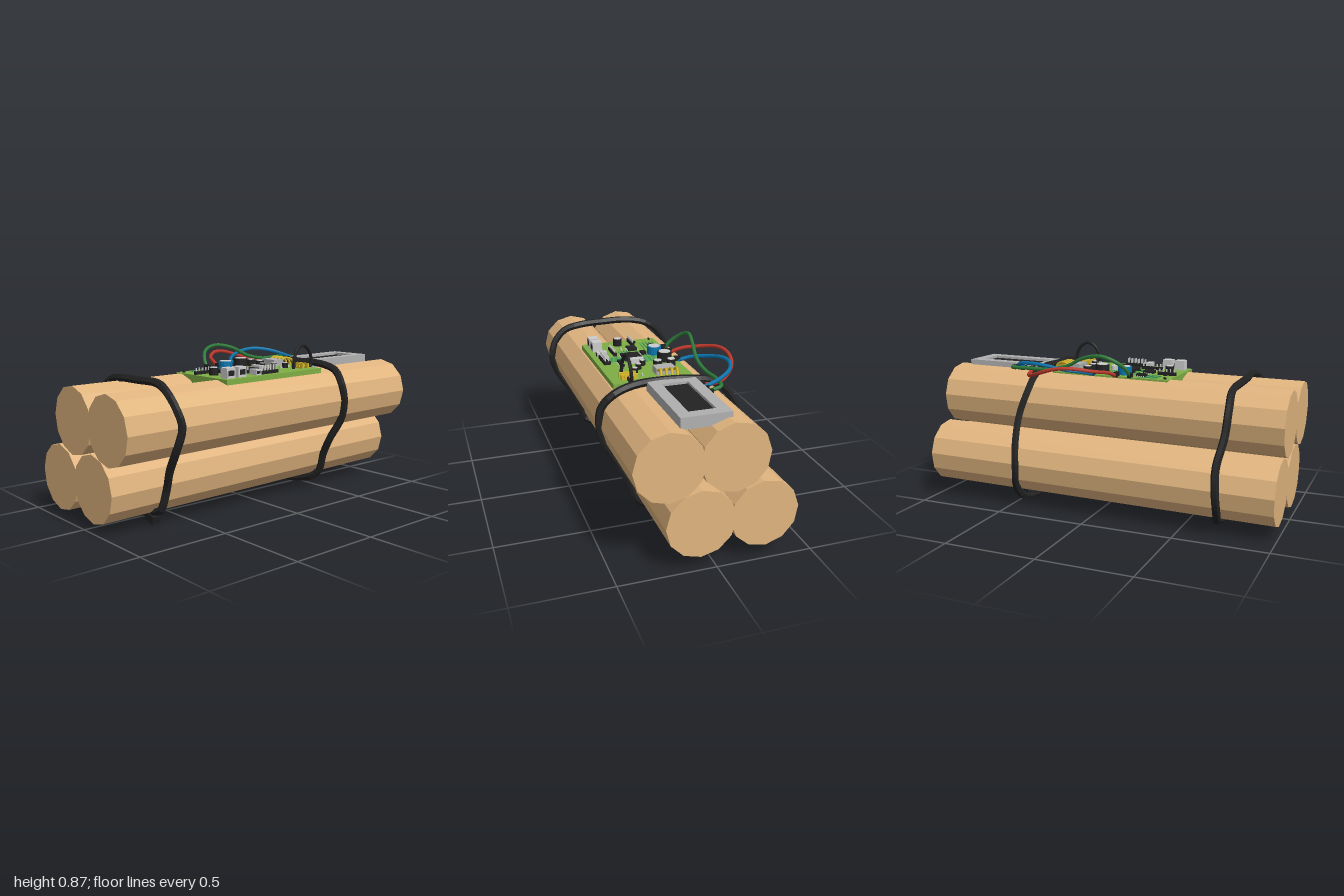
import * as THREE from 'three';

const COLORS = {
  tan: 0xe0b47e, black: 0x222222, green: 0x7fae45, trace: 0x3f9d5c, grey: 0xb0b0b0,
  silver: 0xcccccc, blue: 0x0a77b0, red: 0xc03a2c, wireGreen: 0x2f7d3c, yellow: 0xd8b828,
};
const mats = {};
const mat = (c, flat = true) => {
  const key = c + flat;
  mats[key] ??= new THREE.MeshStandardMaterial({ color: COLORS[c], flatShading: flat });
  return mats[key];
};

export function createModel() {
  const model = new THREE.Group();
  model.name = 'tubeBundleProp';
  const body = new THREE.Group();
  body.name = 'tiltedAssembly';
  body.rotation.z = 0.0125;
  model.add(body);

  const add = (name, geo, color, x = 0, y = 0, z = 0, flat = true) => {
    const m = new THREE.Mesh(geo, mat(color, flat));
    m.name = name;
    m.position.set(x, y, z);
    body.add(m);
    return m;
  };
  // Boxes and cylinders stand on height y
  const box = (name, color, w, h, d, x, y, z) =>
    add(name, new THREE.BoxGeometry(w, h, d), color, x, y + h / 2, z);
  const cyl = (name, color, r, h, x, y, z, sides = 14) =>
    add(name, new THREE.CylinderGeometry(r, r, h, sides), color, x, y + h / 2, z);
  const wire = (name, color, pts, r = 0.0105, closed = false, segs = 36, sides = 6) => {
    const curve = new THREE.CatmullRomCurve3(pts.map((p) => new THREE.Vector3(...p)), closed);
    return add(name, new THREE.TubeGeometry(curve, segs, r, sides, closed), color, 0, 0, 0, closed);
  };

  // Four twelve-sided tubes, the lower pair shifted to the back
  [[0.555, 0.24], [0.56, -0.083], [0.241, 0.082], [0.241, -0.241]].forEach(([y, z], i) => {
    const t = add('tube' + (i + 1), new THREE.CylinderGeometry(0.177, 0.177, 1.985, 12), 'tan', 0.003, y, z);
    t.rotation.set(0.08 * (i % 2), 0, Math.PI / 2);
  });

  // Two straps around the bundle, with a slightly uneven run
  const loop = [
    [0.24, 0.752], [0.34, 0.722], [0.41, 0.65], [0.427, 0.56], [0.395, 0.45], [0.33, 0.33],
    [0.275, 0.22], [0.235, 0.11], [0.17, 0.065], [0.08, 0.038], [-0.08, 0.02], [-0.22, 0.028],
    [-0.31, 0.045], [-0.385, 0.12], [-0.427, 0.24], [-0.4, 0.37], [-0.34, 0.52], [-0.28, 0.65],
    [-0.18, 0.728], [-0.06, 0.752], [0.1, 0.755],
  ];
  [[0.44, 0, 0], [-0.7, 0.012, 1.7]].forEach(([x, lift, phase], s) => {
    const pts = loop.map(([z, y], i) => [
      x + 0.01 * Math.sin(i * 2.1 + phase) + (s ? 0.03 * (0.4 - y) : -0.01 * Math.cos(z * 6)),
      y + (y < 0.1 ? lift * 2 : 0),
      z * (1 + 0.012 * Math.sin(i * 1.7 + phase)),
    ]);
    wire('strap' + (s + 1), 'black', pts, 0.021, true, 72, 6);
    // Overlapping strap end
    const tail = box('strapJoint', 'black', 0.046, 0.042, 0.07, s ? -0.69 : 0.44, s ? 0.032 : 0.012, s ? 0.15 : -0.21);
    tail.rotation.x = s ? 0.25 : -0.1;
  });

  // Circuit board
  const T = 0.738;
  box('circuitBoard', 'green', 0.69, 0.05, 0.435, 0.018, T - 0.05, 0.103);

  // Copper tracks
  const track = (x, z, w, d) => box('track', 'trace', w, 0.002, d, x, T, z);
  for (let i = 0; i < 5; i++) {
    track(-0.1 + i * 0.018, 0.0, 0.007, 0.13 - i * 0.012);
    track(0.0 + i * 0.018, 0.02, 0.007, 0.08);
    track(-0.085, 0.09 + i * 0.016, 0.1, 0.006);
    track(-0.2, -0.085 + i * 0.02, 0.11, 0.006);
    track(-0.04 + i * 0.016, 0.2, 0.006, 0.09);
  }

  // Chips
  [[-0.012, 0.115, 0.1, 0.1], [-0.155, 0.07, 0.058, 0.052], [-0.155, -0.052, 0.055, 0.035],
    [-0.06, 0.03, 0.04, 0.03], [0.06, 0.2, 0.04, 0.02]].forEach(([x, z, w, d]) => {
    box('chip', 'black', w, 0.016, d, x, T, z);
    const n = Math.round(w / 0.013);
    for (let i = 0; i < n; i++) {
      box('chipLegs', 'silver', 0.005, 0.005, d + 0.014, x + (i - (n - 1) / 2) * 0.012, T, z);
    }
  });

  // Pin headers
  const header = (x, z, n, rows, h) => {
    box('pinHeader', 'black', n * 0.021, 0.018, rows * 0.018, x, T, z);
    for (let i = 0; i < n; i++) {
      for (let j = 0; j < rows; j++) {
        box('headerPin', 'silver', 0.006, h, 0.006, x + (i - (n - 1) / 2) * 0.021, T, z + (j - (rows - 1) / 2) * 0.018);
      }
    }
  };
  header(0.0, 0.27, 6, 2, 0.045);
  header(-0.125, 0.19, 6, 1, 0.035);
  header(-0.267, 0.043, 5, 1, 0.035);

  // Sockets and plug connectors
  for (const [x, w, h] of [[-0.275, 0.055, 0.055], [-0.2, 0.055, 0.055], [-0.085, 0.035, 0.03]]) {
    box('socket', 'silver', w, h, 0.055, x, T, 0.265);
    box('socketOpening', 'black', w * 0.65, h * 0.5, 0.004, x, T + h * 0.25, 0.293);
  }
  box('wireConnector', 'grey', 0.07, 0.036, 0.105, 0.27, T, 0.02);

  // Capacitors with metal tops
  [[-0.045, -0.03, 0.04, 0.045, 'blue'], [0.083, -0.048, 0.04, 0.05, 'black'],
    [0.17, -0.056, 0.025, 0.035, 'black'], [0.17, 0.02, 0.025, 0.035, 'black'],
    [-0.255, 0.125, 0.025, 0.04, 'black'], [0.123, 0.092, 0.016, 0.028, 'black'],
    [0.176, 0.13, 0.016, 0.028, 'black'], [0.23, 0.167, 0.016, 0.028, 'black']].forEach(([x, z, r, h, c]) => {
    cyl('capacitor', c, r, h, x, T, z);
    cyl('capacitorTop', 'silver', r * 0.82, 0.003, x, T + h, z);
  });

  // Oscillator can with rounded ends
  box('oscillator', 'silver', 0.036, 0.025, 0.058, 0.07, T, 0.115);
  for (const s of [-1, 1]) cyl('oscillatorEnd', 'silver', 0.018, 0.025, 0.07, T, 0.115 + s * 0.029);

  // Small surface parts in scattered rows
  for (let i = 0; i < 14; i++) {
    const x = -0.3 + ((i * 0.137) % 0.6), z = -0.08 + ((i * 0.211) % 0.36);
    box('resistor', i % 3 ? 'silver' : 'black', 0.016, 0.01, 0.009, x, T, z);
  }

  // Display housing with a recessed dark window
  const frame = new THREE.Shape([[-0.245, -0.128], [0.245, -0.128], [0.245, 0.128], [-0.245, 0.128]]
    .map((p) => new THREE.Vector2(...p)));
  frame.holes.push(new THREE.Path([[-0.185, -0.068], [-0.185, 0.068], [0.185, 0.068], [0.185, -0.068]]
    .map((p) => new THREE.Vector2(...p))));
  const housing = add('displayHousing',
    new THREE.ExtrudeGeometry(frame, { depth: 0.06, bevelEnabled: false }), 'grey', 0.682, 0.703, 0.041);
  housing.rotation.x = -Math.PI / 2;
  box('displayScreen', 'black', 0.372, 0.045, 0.138, 0.682, 0.705, 0.041);

  // Long looping wires from the board to the display
  wire('greenWire', 'wireGreen', [[-0.11, T, -0.11], [-0.1, 0.785, -0.15], [-0.05, 0.835, -0.2], [0.03, 0.857, -0.21],
    [0.14, 0.835, -0.19], [0.24, 0.785, -0.175], [0.36, 0.758, -0.175], [0.5, 0.756, -0.185], [0.59, 0.752, -0.17], [0.615, 0.745, -0.09]]);
  wire('redWire', 'red', [[-0.03, T, -0.11], [-0.01, 0.765, -0.18], [0.04, 0.782, -0.27], [0.13, 0.8, -0.34],
    [0.22, 0.795, -0.362], [0.32, 0.765, -0.345], [0.41, 0.735, -0.28], [0.47, 0.725, -0.2], [0.5, 0.738, -0.09]]);
  wire('blueWire', 'blue', [[0.11, T, -0.11], [0.13, 0.758, -0.19], [0.2, 0.775, -0.26], [0.3, 0.797, -0.295],
    [0.4, 0.805, -0.295], [0.49, 0.793, -0.255], [0.54, 0.77, -0.18], [0.558, 0.745, -0.09]]);
  for (const x of [-0.11, -0.03, 0.11]) box('wirePlug', 'black', 0.02, 0.025, 0.035, x, T, -0.112);
  for (const x of [0.5, 0.558, 0.615]) box('wirePlug', 'black', 0.022, 0.025, 0.035, x, 0.73, -0.1);

  // Short yellow wires from the connector down under the display
  for (let i = 0; i < 4; i++) {
    const z = -0.025 + i * 0.03;
    wire('yellowWire', 'yellow', [[0.29, 0.755, z], [0.33, 0.778, z - 0.005], [0.375, 0.768, z + 0.006],
      [0.39, 0.735, z + 0.01], [0.37, 0.695, z * 0.6 + 0.03]], 0.007, false, 16);
  }

  // Yellow terminal pins and the black arched wire
  for (let i = 0; i < 3; i++) box('terminalPin', 'yellow', 0.07, 0.012, 0.01, 0.295, T + 0.008, 0.2 + i * 0.022);
  for (const x of [0.275, 0.315]) box('terminalPost', 'yellow', 0.012, 0.028, 0.09, x, T, 0.222);
  wire('blackWire', 'black', [[0.225, T, 0.24], [0.235, 0.8, 0.238], [0.265, 0.85, 0.234], [0.31, 0.864, 0.232],
    [0.35, 0.84, 0.231], [0.375, 0.79, 0.23], [0.37, 0.74, 0.228], [0.32, 0.748, 0.232]], 0.0095);

  return model;
}
